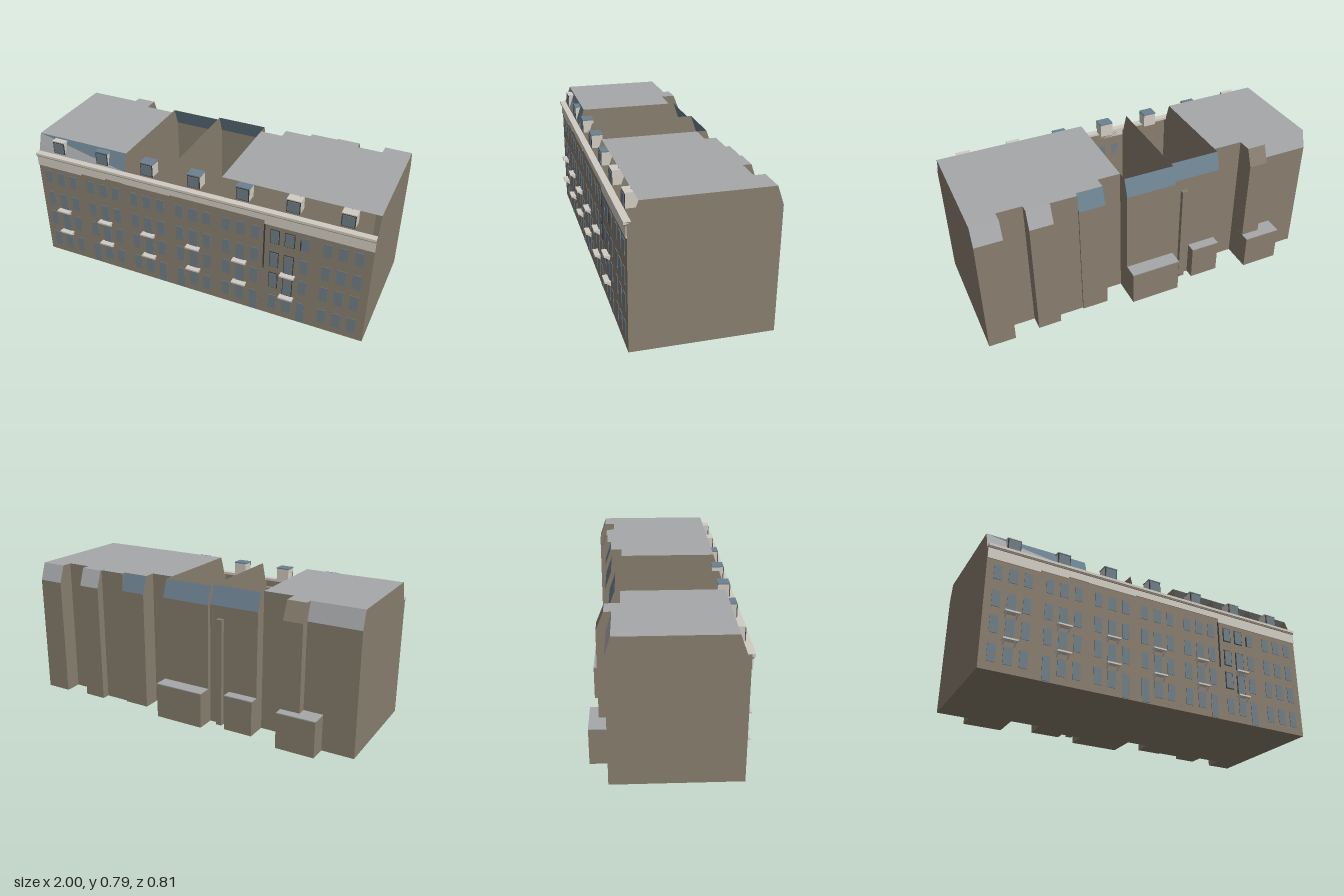
import * as THREE from 'three';

const mat = (name, color, side = THREE.FrontSide) => {
  const m = new THREE.MeshStandardMaterial({ color, side });
  m.name = name;
  return m;
};

export function createModel() {
  const D = THREE.DoubleSide;
  const wall = mat('tan wall', 0x887e6e, D);
  const roof = mat('grey roof', 0xa6a8aa, D);
  const slate = mat('blue slate', 0x6c8190, D);
  const glass = mat('window blue', 0x6f7d87);
  const cream = mat('cream stone', 0xd2ccc2);
  const dark = mat('dark frame', 0x3a3c3e);

  const model = new THREE.Group();
  model.name = 'terraceBuilding';

  const box = (name, m, x0, x1, y0, y1, z0, z1, parent = model) => {
    const mesh = new THREE.Mesh(new THREE.BoxGeometry(x1 - x0, y1 - y0, z1 - z0), m);
    mesh.position.set((x0 + x1) / 2, (y0 + y1) / 2, (z0 + z1) / 2);
    mesh.name = name;
    parent.add(mesh);
    return mesh;
  };

  // Flat polygon as a triangle fan around its first corner
  const face = (name, m, pts, parent = model) => {
    const pos = [];
    for (let i = 1; i < pts.length - 1; i++) pos.push(...pts[0], ...pts[i], ...pts[i + 1]);
    const g = new THREE.BufferGeometry();
    g.setAttribute('position', new THREE.Float32BufferAttribute(pos, 3));
    g.computeVertexNormals();
    const mesh = new THREE.Mesh(g, m);
    mesh.name = name;
    parent.add(mesh);
  };

  const FRONT = 0.37, EAVE = 0.69, TOP = 0.79, SLOPE = 0.35, RIDGE = 0.315;

  // Sections: x start, x end, back wall z, back roof edge z, slope material, open roof
  const sections = [
    [-1, -0.71, -0.3, -0.27, roof],
    [-0.71, -0.6, -0.35, -0.31, wall],
    [-0.6, -0.43, -0.23, -0.23, wall],
    [-0.43, -0.14, -0.295, -0.26, slate, true],
    [-0.14, 0.15, -0.32, -0.285, slate, true],
    [0.15, 0.28, -0.23, -0.23, wall],
    [0.28, 0.43, -0.33, -0.295, slate],
    [0.43, 0.58, -0.32, -0.32, wall],
    [0.58, 0.71, -0.365, -0.33, roof],
    [0.71, 0.85, -0.285, -0.285, wall],
    [0.85, 1, -0.38, -0.345, roof],
  ];
  for (const [a, b, back, edge, slopeMat, open] of sections) {
    const s = new THREE.Group();
    s.name = 'buildingSection';
    model.add(s);
    // Quad running the full section width between two (y, z) points
    const strip = (name, m, y0, z0, y1, z1) =>
      face(name, m, [[a, y0, z0], [a, y1, z1], [b, y1, z1], [b, y0, z0]], s);
    strip('floor', wall, 0, back, 0, FRONT);
    strip('frontWall', wall, EAVE, FRONT, 0, FRONT);
    strip('backWall', wall, 0, back, EAVE, back);
    strip('backRoofSlope', slopeMat, EAVE, back, TOP, edge);
    if (!open) strip('flatRoof', roof, TOP, edge, TOP, RIDGE);
    const profile = [[EAVE, SLOPE], [TOP, RIDGE], [TOP, edge], [EAVE, back], [0, back], [0, FRONT], [EAVE, FRONT]];
    face('leftPartyWall', wall, profile.map(([y, z]) => [b, y, z]).reverse().map((p, i, all) => all[(i + 6) % 7]), s);
    face('rightPartyWall', wall, profile.map(([y, z]) => [a, y, z]), s);
  }

  // Front roof slope, present over the two right-hand bays only
  face('frontRoofSlopeGrey', roof, [[-1, TOP, RIDGE], [-1, EAVE, SLOPE], [-0.43, EAVE, SLOPE]]);
  face('frontRoofSlopeBlue', slate, [[-1, TOP, RIDGE], [-0.43, EAVE, SLOPE], [-0.43, TOP, RIDGE]]);

  // Low rear extensions with grey roofs
  for (const [a, b, back, inner] of [[-0.82, -0.6, -0.4, -0.3], [-0.43, -0.26, -0.35, -0.29], [-0.14, 0.15, -0.402, -0.31]]) {
    box('rearExtension', wall, a, b, 0, 0.2, back, inner);
    box('rearExtensionRoof', roof, a, b, 0.2, 0.205, back, inner);
  }
  box('rearPier', wall, -0.225, -0.19, 0, 0.62, -0.32, -0.29);

  // Eaves band with a stepped lower edge, and the projecting lip
  for (const [a, b, y] of [[-1, -0.71, 0.61], [-0.71, -0.55, 0.62], [-0.55, -0.43, 0.63], [-0.43, -0.14, 0.627], [-0.14, 0.42, 0.633], [0.42, 1, 0.61]])
    box('eavesBand', cream, a, b, y, 0.67, FRONT, 0.376);
  box('corniceShadowLine', wall, -1, 1, 0.67, 0.678, FRONT, 0.38);
  box('corniceLip', cream, -1, 1, 0.678, 0.692, SLOPE, 0.386);

  // Bracket side outline, extruded across its thickness
  const bracketShape = new THREE.Shape([[0, 0], [0.028, 0], [0.022, -0.006], [0, -0.022]].map(([x, y]) => new THREE.Vector2(x, y)));
  const bracketGeo = new THREE.ExtrudeGeometry(bracketShape, { depth: 0.008, bevelEnabled: false });
  bracketGeo.rotateY(-Math.PI / 2);

  const bays = [-0.855, -0.57, -0.285, 0, 0.283, 0.562, 0.848];
  const rows = [[0.045, 0.14], [0.2, 0.295], [0.345, 0.435], [0.5, 0.58]];
  const streetDoor = { 1: -1, 2: 1, 3: -1, 4: 1, 5: 1 };
  bays.forEach((c, i) => {
    // Windows, balcony doors and street doors
    for (const col of [-1, 0, 1]) {
      rows.forEach(([y0, y1], r) => {
        const balconyDoor = col === 0 && (r === 1 || r === 2) && i < 6;
        const low = balconyDoor ? [0.17, 0.32][r - 1] : r === 0 && streetDoor[i] === col ? 0.005 : y0;
        const x = c + col * 0.083, h = col === 0 ? 0.024 : 0.022;
        const framed = i === 5 && r > 0 && col < 1;
        if (framed) box('windowFrame', dark, x - h - 0.004, x + h + 0.004, low - 0.004, y1 + 0.004, FRONT, 0.373);
        box('window', glass, x - h, x + h, low, y1, FRONT, framed ? 0.376 : 0.373);
      });
    }
    // Balconies with two brackets each
    if (i < 6) {
      for (const y of [0.168, 0.32]) {
        const by = i === 5 ? y - 0.012 : y;
        const balcony = new THREE.Group();
        balcony.name = 'balcony';
        model.add(balcony);
        box('balconySlab', cream, c - 0.04, c + 0.04, by, by + 0.009, FRONT, 0.403, balcony);
        for (const dx of [-0.026, 0.034]) {
          const bracket = new THREE.Mesh(bracketGeo, cream);
          bracket.rotation.y = 0;
          bracket.position.set(c + dx, by, FRONT);
          bracket.name = 'balconyBracket';
          balcony.add(bracket);
        }
      }
    }
    // Dormer with framed window
    const dormer = new THREE.Group();
    dormer.name = 'dormer';
    model.add(dormer);
    box('dormerBody', cream, c - 0.037, c + 0.037, 0.703, 0.776, 0.288, 0.35, dormer);
    box('dormerRoof', i > 0 && i < 5 ? slate : cream, c - 0.039, c + 0.039, 0.776, 0.782, 0.288, 0.353, dormer);
    box('dormerFrame', dark, c - 0.037, c + 0.037, 0.704, 0.776, 0.35, 0.353, dormer);
    box('dormerWindow', glass, c - 0.032, c + 0.032, 0.709, 0.771, 0.35, 0.356, dormer);
  });

  // Dark downpipes beside the framed bay
  for (const x of [0.42, 0.622]) box('downpipe', dark, x - 0.003, x + 0.003, x < 0.5 ? 0.32 : 0.5, x < 0.5 ? 0.61 : 0.56, FRONT, 0.376);

  return model;
}
